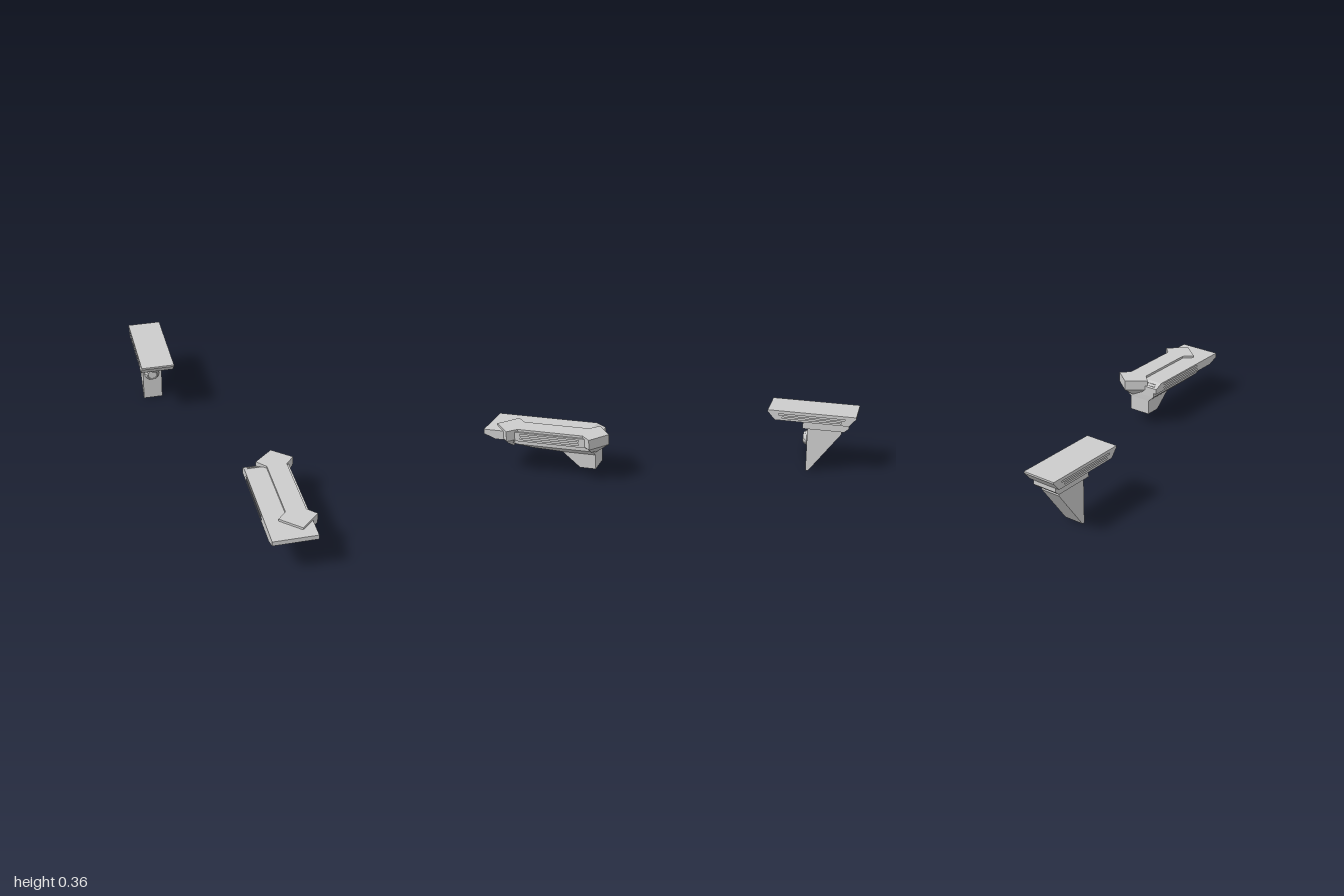
import * as THREE from 'three';
import { ConvexGeometry } from 'three/addons/geometries/ConvexGeometry.js';

const material = new THREE.MeshStandardMaterial({ color: 0xcccccc, flatShading: true });

function part(parent, name, geometry) {
  const mesh = new THREE.Mesh(geometry, material);
  mesh.name = name;
  parent.add(mesh);
  return mesh;
}

const toShape = pts => new THREE.Shape(pts.map(p => new THREE.Vector2(p[0], p[1])));

// Side profile of [z, y] points, extruded from x0 to x1; slots are [z0, z1, y0, y1]
function sideExtrusion(profile, x0, x1, slots = []) {
  const shape = toShape(profile);
  for (const [z0, z1, y0, y1] of slots) {
    shape.holes.push(toShape([[z0, y0], [z0, y1], [z1, y1], [z1, y0]]));
  }
  const g = new THREE.ExtrudeGeometry(shape, { depth: x1 - x0, bevelEnabled: false });
  return g.rotateY(-Math.PI / 2).translate(x1, 0, 0);
}

// Plan outline of [x, z] points, extruded from y0 to y1
function planExtrusion(outline, y0, y1) {
  const shape = toShape(outline.map(([x, z]) => [x, -z]));
  const g = new THREE.ExtrudeGeometry(shape, { depth: y1 - y0, bevelEnabled: false });
  return g.rotateX(-Math.PI / 2).translate(0, y0, 0);
}

const hull = pts => new ConvexGeometry(pts.map(p => new THREE.Vector3(...p)));

// Slab with long grooves cut into both side faces
function groovedSlab(parent, name, profile, x0, x1, slots) {
  const t = 0.01;
  part(parent, name, sideExtrusion(profile, x0 + t, x1 - t));
  part(parent, name + 'RightSide', sideExtrusion(profile, x0, x0 + t, slots));
  part(parent, name + 'LeftSide', sideExtrusion(profile, x1 - t, x1, slots));
}

// Tapered knob along +y with ribs around its cone and a shallow dished face
function knob(name) {
  const group = new THREE.Group();
  group.name = name;
  const profile = [[0.04, 0], [0.045, 0.005], [0.03, 0.027], [0.027, 0.027], [0.025, 0.024], [0, 0.024]];
  part(group, 'knobBody', new THREE.LatheGeometry(profile.map(p => new THREE.Vector2(...p)), 24));
  for (let i = 0; i < 12; i++) {
    const spoke = new THREE.Group();
    spoke.rotation.y = (i / 12) * Math.PI * 2;
    const rib = part(spoke, 'knobRib', new THREE.BoxGeometry(0.003, 0.018, 0.005));
    rib.position.set(0.0372, 0.0155, 0);
    rib.rotation.z = Math.atan2(0.015, 0.022);
    group.add(spoke);
  }
  return group;
}

function bracketShelf() {
  const g = new THREE.Group();
  g.name = 'bracketShelf';
  // Shelf board, undercut at front and back
  groovedSlab(g, 'shelfBoard',
    [[-0.51, 0.363], [-0.51, 0.353], [-0.55, 0.307], [-0.962, 0.307], [-1, 0.353], [-1, 0.363]],
    -0.333, -0.143, [[-0.94, -0.57, 0.338, 0.345], [-0.92, -0.59, 0.32, 0.327]]);
  // Cap block and tapering post
  part(g, 'postCap', sideExtrusion(
    [[-0.705, 0.307], [-0.705, 0.26], [-0.935, 0.26], [-0.96, 0.282], [-0.96, 0.307]], -0.308, -0.167));
  part(g, 'post', sideExtrusion(
    [[-0.73, 0.262], [-0.73, 0], [-0.745, 0], [-0.92, 0.24], [-0.92, 0.262]], -0.295, -0.182));
  // Knobs on the post and below the shelf
  const postKnob = knob('postKnob');
  postKnob.rotation.x = Math.PI / 2;
  postKnob.position.set(-0.242, 0.178, -0.73);
  const shelfKnob = knob('shelfKnob');
  shelfKnob.rotation.x = Math.PI;
  shelfKnob.position.set(-0.242, 0.307, -0.605);
  g.add(postKnob, shelfKnob);
  return g;
}

function arrowPlatform() {
  const g = new THREE.Group();
  g.name = 'arrowPlatform';
  // Deck with undercut front and sloped rear lip
  groovedSlab(g, 'deck',
    [[1, 0.27], [1, 0.243], [0.935, 0.218], [0.37, 0.218], [0.37, 0.248], [0.42, 0.27]],
    0.057, 0.298, [[0.45, 0.79, 0.252, 0.26], [0.45, 0.79, 0.23, 0.238]]);
  for (const [z, y] of [[0.384, 0.2545], [0.402, 0.2625]]) {
    const ridge = part(g, 'rearLipRidge', new THREE.BoxGeometry(0.07, 0.004, 0.006));
    ridge.position.set(0.113, y, z);
    ridge.rotation.x = Math.atan2(-0.022, 0.05);
  }
  // Tapered belly below the deck
  const belly = [];
  for (const [xa, xb, y, z0, z1] of [
    [0.078, 0.28, 0.219, 0.372, 0.9], [0.078, 0.28, 0.192, 0.372, 0.815],
    [0.098, 0.26, 0.172, 0.373, 0.73], [0.115, 0.243, 0.158, 0.374, 0.58]]) {
    for (const x of [xa, xb]) for (const z of [z0, z1]) belly.push([x, y, z]);
  }
  part(g, 'belly', hull(belly));
  part(g, 'leg', sideExtrusion(
    [[0.567, 0.16], [0.465, 0.073], [0.374, 0.073], [0.374, 0.16]], 0.115, 0.243));
  // Double-ended arrow across the deck
  const c = 0.23, w = 0.103, n = 0.055;
  part(g, 'arrow', planExtrusion([
    [c, 0.945], [c + w, 0.855], [c + n, 0.807], [c + n, 0.43], [c + w, 0.38],
    [c, 0.297], [c - w, 0.38], [c - n, 0.43], [c - n, 0.807], [c - w, 0.855]], 0.225, 0.283));
  // Faceted points below the arrow heads
  for (const [name, tip, shoulder, neck, apex] of [
    ['frontPoint', 0.945, 0.855, 0.807, 0.855], ['rearPoint', 0.297, 0.38, 0.43, 0.39]]) {
    const mid = (tip + shoulder) / 2;
    part(g, name, hull([
      [c, 0.226, tip], [c - w, 0.226, shoulder], [c + w, 0.226, shoulder],
      [c - n, 0.226, neck], [c + n, 0.226, neck],
      [c - 0.075, 0.203, shoulder], [c + 0.075, 0.203, shoulder],
      [c, 0.198, mid], [c, 0.158, apex]]));
  }
  return g;
}

export function createModel() {
  const model = new THREE.Group();
  model.name = 'shelfAndPlatform';
  model.add(bracketShelf(), arrowPlatform());
  return model;
}
